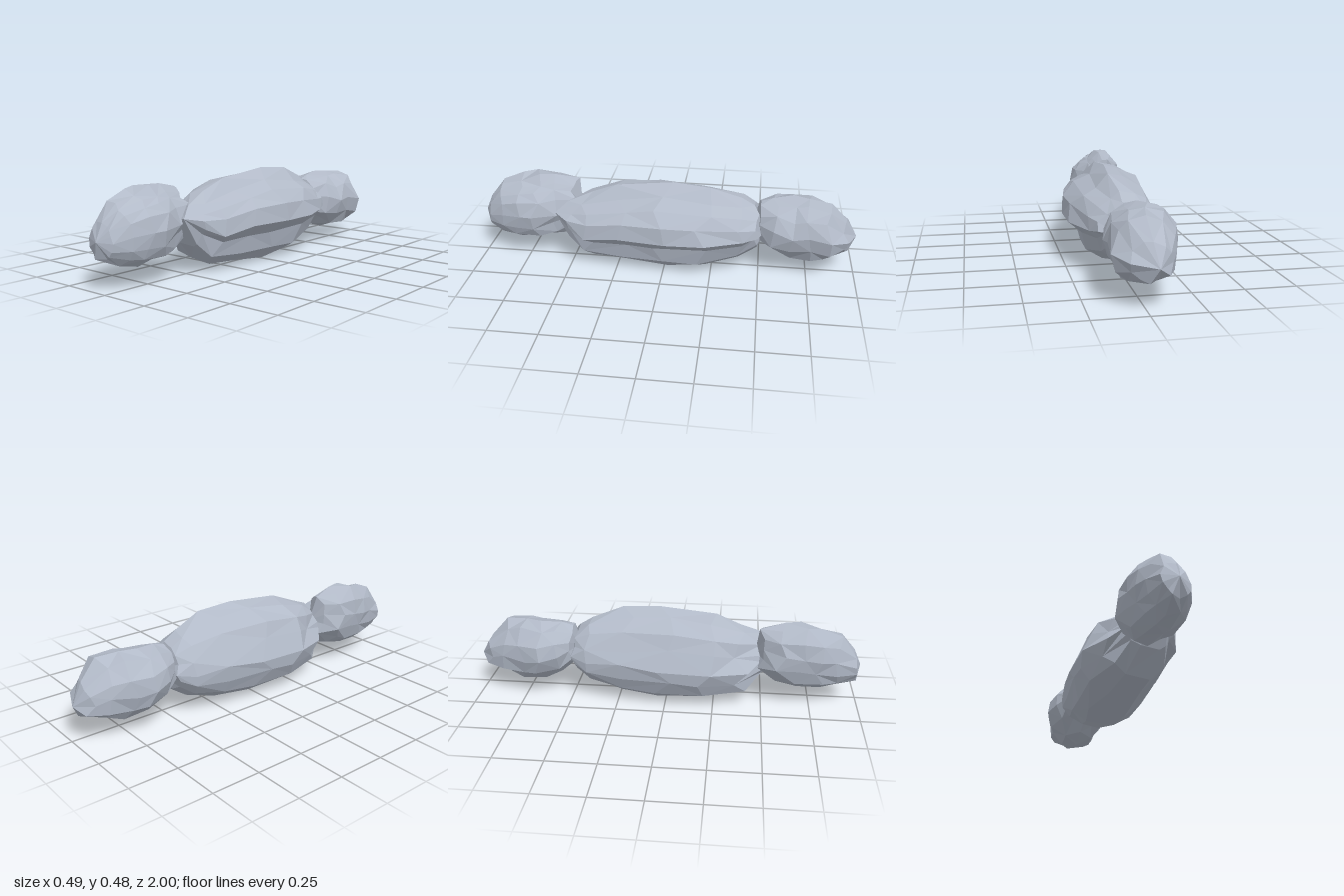
import * as THREE from 'three';

// Small seeded generator for the chipped surface
function seeded(seed) {
  return () => {
    seed = (seed * 16807) % 2147483647;
    return seed / 2147483647;
  };
}

// Outline points [x, y] rescaled to the range -1..1
function unitOutline(points, [x0, x1, y0, y1]) {
  return points.map(([x, y]) => [(2 * x - x0 - x1) / (x1 - x0), (2 * y - y0 - y1) / (y1 - y0)]);
}

// Faceted rock: the outline is drawn in each ring [z, xMin, xMax, yMin, yMax],
// closed by two tips [x, y, z], with random dents up to the given depth
function rock(name, outline, tips, rings, dent, seed) {
  const rand = seeded(seed);
  const sides = outline.length;
  const pos = [...tips[0]];
  rings.forEach(([z, x0, x1, y0, y1], i) => {
    const gap = i ? z - rings[i - 1][0] : rings[1][0] - z;
    for (let j = 0; j < sides; j++) {
      // slide a little along the outline, then press inwards
      const t = rand() * 0.3;
      const [u0, v0] = outline[j];
      const [u1, v1] = outline[(j + 1) % sides];
      const r = 1 - dent * rand() ** 1.5;
      pos.push(
        (x0 + x1) / 2 + (u0 + (u1 - u0) * t) * r * (x1 - x0) / 2,
        (y0 + y1) / 2 + (v0 + (v1 - v0) * t) * r * (y1 - y0) / 2,
        z + (rand() - 0.5) * gap * 0.5
      );
    }
  });
  pos.push(...tips[1]);

  const index = [];
  const last = pos.length / 3 - 1;
  const at = (i, j) => 1 + i * sides + j % sides;
  for (let j = 0; j < sides; j++) {
    index.push(0, at(0, j + 1), at(0, j));
    for (let i = 0; i < rings.length - 1; i++) {
      const a = at(i, j), b = at(i, j + 1), c = at(i + 1, j), d = at(i + 1, j + 1);
      if ((i + j) % 2) index.push(a, b, d, a, d, c);
      else index.push(a, b, c, b, d, c);
    }
    index.push(last, at(rings.length - 1, j), at(rings.length - 1, j + 1));
  }

  const geo = new THREE.BufferGeometry();
  geo.setAttribute('position', new THREE.Float32BufferAttribute(pos, 3));
  geo.setIndex(index);
  const flat = geo.toNonIndexed();
  flat.computeVertexNormals();

  const mesh = new THREE.Mesh(
    flat,
    new THREE.MeshStandardMaterial({ color: 0xb2bac8, flatShading: true })
  );
  mesh.name = name;
  return mesh;
}

export function createModel() {
  const group = new THREE.Group();
  group.name = 'rockChain';

  // Large central boulder with an overhanging ledge along its left side
  const boulder = unitOutline([
    [0.245, 0.305], [0.185, 0.375], [0.105, 0.41], [0.045, 0.485], [-0.055, 0.465],
    [-0.16, 0.43], [-0.205, 0.335], [-0.245, 0.25], [-0.245, 0.16], [-0.205, 0.08],
    [-0.135, 0.03], [0.05, 0], [0.135, 0.04], [0.17, 0.155], [0.245, 0.205],
  ], [-0.245, 0.245, 0, 0.485]);
  group.add(rock('middleRock', boulder, [[0.02, 0.22, -0.52], [0.07, 0.29, 0.58]], [
    [-0.48, -0.15, 0.13, 0.13, 0.37],
    [-0.4, -0.19, 0.17, 0.06, 0.42],
    [-0.21, -0.22, 0.235, 0.01, 0.47],
    [0.0, -0.245, 0.245, 0.0, 0.485],
    [0.21, -0.25, 0.215, 0.01, 0.455],
    [0.4, -0.19, 0.185, 0.03, 0.405],
    [0.5, -0.11, 0.14, 0.14, 0.35],
  ], 0.07, 71));

  // Smaller front rock, drooping towards a blunt nose
  const frontShape = unitOutline([
    [0.09, 0.24], [0.08, 0.33], [0.045, 0.385], [0.0, 0.41], [-0.04, 0.45], [-0.11, 0.46],
    [-0.165, 0.4], [-0.19, 0.31], [-0.185, 0.22], [-0.15, 0.14], [-0.1, 0.1],
    [-0.02, 0.085], [0.05, 0.115], [0.075, 0.17],
  ], [-0.195, 0.09, 0.085, 0.46]);
  group.add(rock('frontRock', frontShape, [[-0.06, 0.28, 0.46], [-0.05, 0.23, 1]], [
    [0.49, -0.15, 0.02, 0.18, 0.43],
    [0.59, -0.2, 0.055, 0.11, 0.46],
    [0.69, -0.2, 0.095, 0.085, 0.465],
    [0.79, -0.18, 0.09, 0.085, 0.445],
    [0.89, -0.16, 0.07, 0.1, 0.405],
    [0.97, -0.13, 0.02, 0.14, 0.32],
  ], 0.14, 421));

  // Smaller back rock, ending in a low point
  const round = Array.from({ length: 12 }, (_, j) => {
    const a = (j * Math.PI) / 6;
    return [Math.cos(a), Math.sin(a)];
  });
  group.add(rock('backRock', round, [[-0.04, 0.2, -1], [-0.03, 0.27, -0.46]], [
    [-0.94, -0.12, 0.08, 0.12, 0.31],
    [-0.85, -0.16, 0.14, 0.07, 0.395],
    [-0.75, -0.195, 0.155, 0.06, 0.415],
    [-0.66, -0.22, 0.14, 0.065, 0.415],
    [-0.57, -0.195, 0.125, 0.1, 0.415],
    [-0.49, -0.15, 0.08, 0.17, 0.38],
  ], 0.15, 977));

  return group;
}
